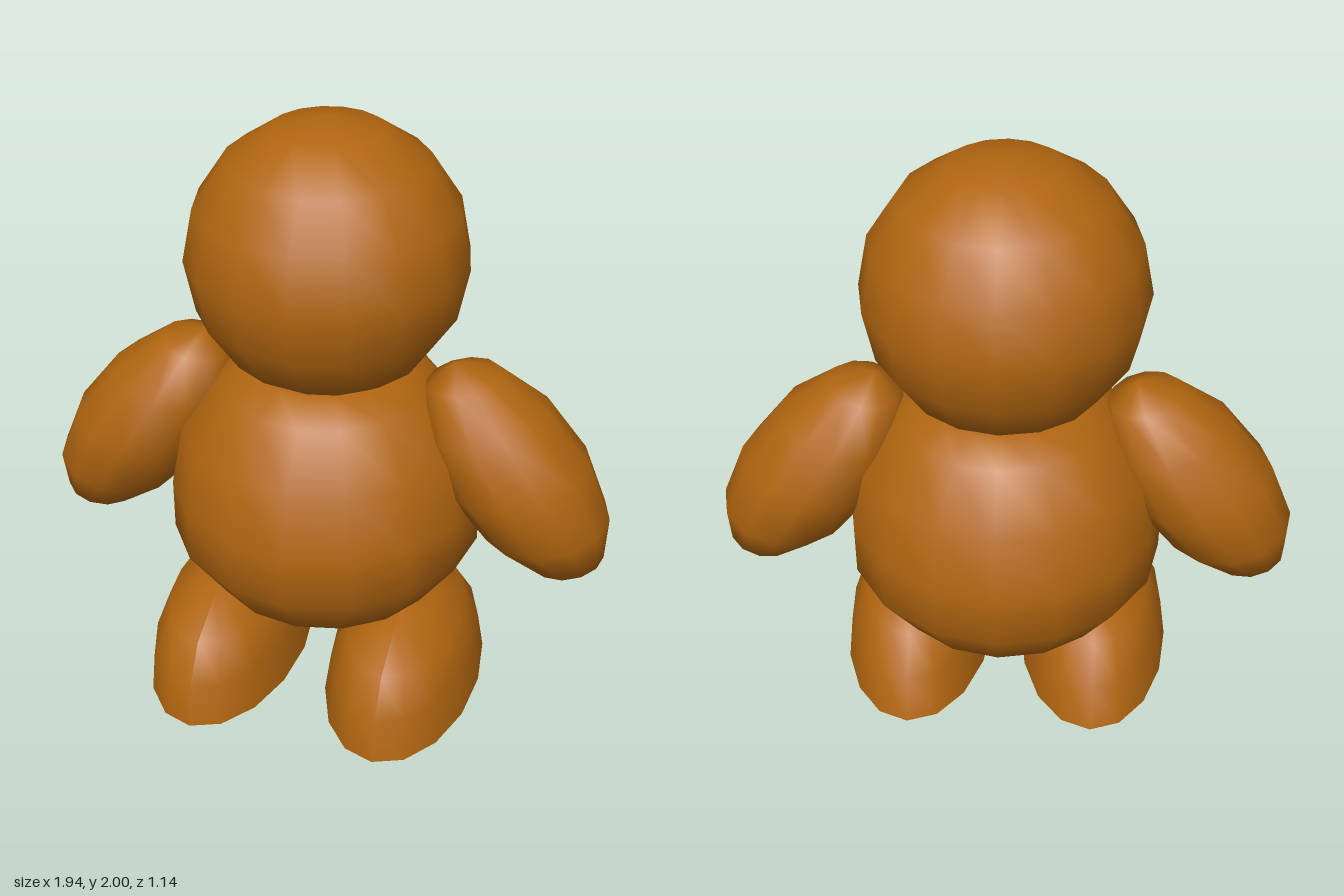
import * as THREE from 'three';

const material = new THREE.MeshStandardMaterial({ color: 0xb06510 });
const CENTER_Z = -0.04;

function add(parent, name, geometry, x = 0, y = 0, z = 0) {
  const mesh = new THREE.Mesh(geometry, material);
  mesh.name = name;
  mesh.position.set(x, y, z);
  parent.add(mesh);
  return mesh;
}

const lathe = (points, sides) =>
  new THREE.LatheGeometry(points.map(([r, y]) => new THREE.Vector2(r, y)), sides);

// Leaning ellipsoid arm: a sphere skewed along the shoulder-to-hand direction
function armGeometry() {
  const across = new THREE.Vector3(0.24, 0.05, 0);
  const along = new THREE.Vector3(-0.225, 0.375, 0);
  const depth = new THREE.Vector3(0, 0, 0.265);
  return new THREE.SphereGeometry(1, 12, 6)
    .applyMatrix4(new THREE.Matrix4().makeBasis(across, along, depth));
}

// Half-ellipsoid foot, its crown shifted slightly forward
function footGeometry() {
  const profile = [[1, 0], [0.92, 0.15], [0.73, 0.27], [0.37, 0.33], [0, 0.345]];
  const geometry = lathe(profile, 16).scale(0.265, 1, 0.5);
  const p = geometry.attributes.position;
  for (let i = 0; i < p.count; i++) p.setZ(i, p.getZ(i) + 0.06 * p.getY(i));
  geometry.computeVertexNormals();
  return geometry;
}

export function createModel() {
  const model = new THREE.Group();
  model.name = 'figure';

  // Head
  add(model, 'head', new THREE.SphereGeometry(0.46, 16, 8), 0, 1.54, CENTER_Z);

  // Pear-shaped body
  const bodyProfile = [
    [0, 0.23], [0.22, 0.255], [0.4, 0.34], [0.532, 0.53], [0.532, 0.71],
    [0.49, 0.93], [0.36, 1.1], [0.26, 1.165], [0, 1.2],
  ];
  add(model, 'body', lathe(bodyProfile, 16), 0, 0, CENTER_Z);

  // Arms and feet
  for (const [side, s] of [['left', 1], ['right', -1]]) {
    const arm = add(model, side + 'Arm', armGeometry(), s * 0.65, 0.835, CENTER_Z);
    if (s < 0) arm.rotation.y = Math.PI;

    const foot = new THREE.Group();
    foot.name = side + 'Foot';
    foot.position.set(s * 0.32, 0, 0.07);
    add(foot, side + 'FootTop', footGeometry());
    const sole = new THREE.CircleGeometry(1, 16).rotateX(Math.PI / 2).scale(0.265, 1, 0.5);
    add(foot, side + 'Sole', sole);
    model.add(foot);
  }
  return model;
}
